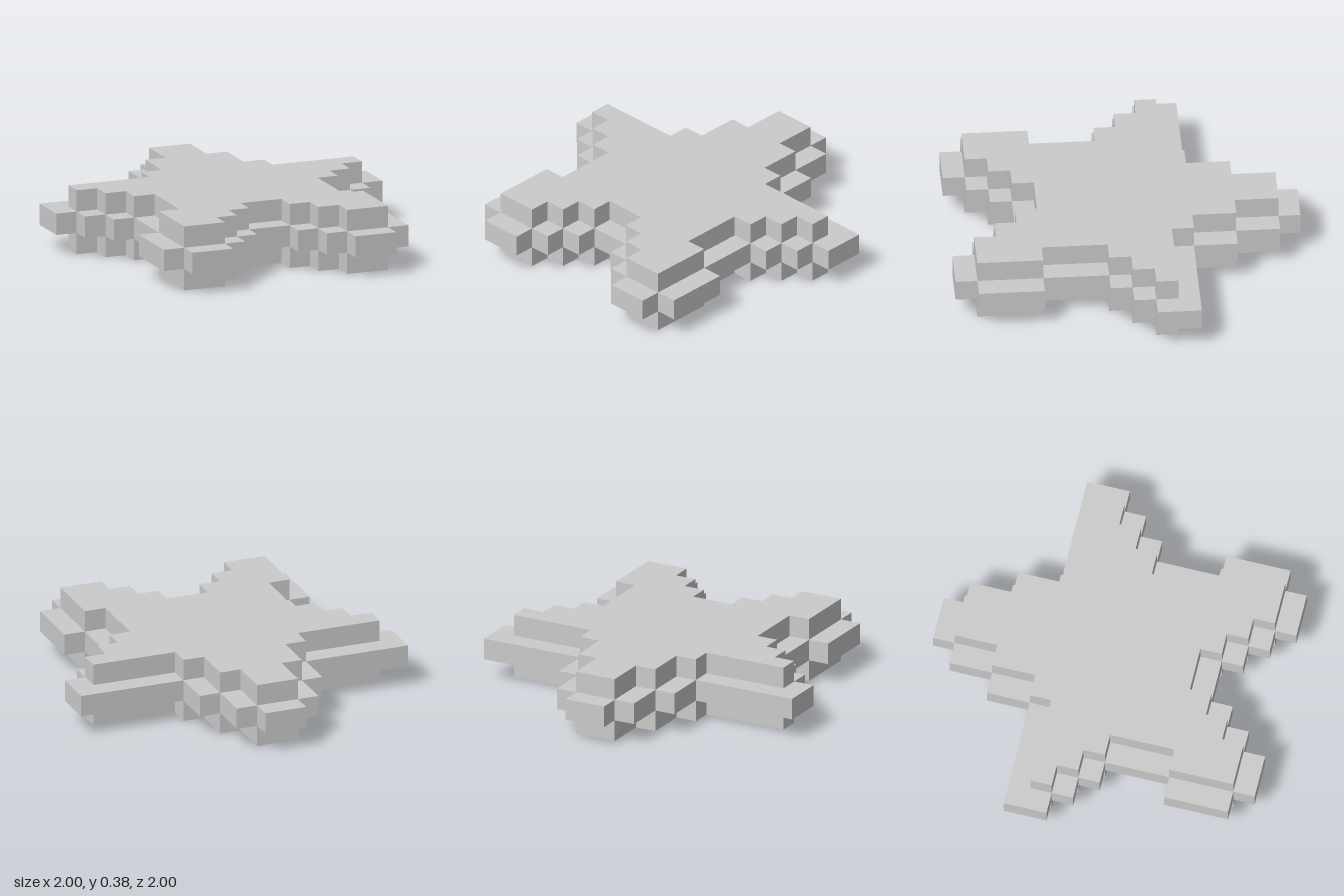
import * as THREE from 'three';

const U = 0.125; // one block

// Right half of each stepped outline as [x, z] in blocks, from back to front
const wide = [[1, -8], [1, -7], [2, -7], [2, -5], [3, -5], [3, -3], [8, -3], [8, -1], [7, -1], [7, 0],
  [6, 0], [6, 1], [5, 1], [5, 4], [6, 4], [6, 7], [5, 7], [5, 8], [3, 8], [3, 7], [2, 7], [2, 6], [1, 6], [1, 5]];
const narrow = [[1, -7], [1, -5], [2, -5], [2, -3], [3, -3], [3, -2], [7, -2], [7, -1], [6, -1], [6, 0],
  [5, 0], [5, 1], [4, 1], [4, 4], [5, 4], [5, 7], [3, 7], [3, 6], [2, 6], [2, 5], [1, 5], [1, 4]];

// Mirrors the half outline and extrudes it one block high
function layer(name, half, level, material) {
  const mirrored = half.map(([x, z]) => [-x, z]).reverse();
  const points = [...half, ...mirrored].map(([x, z]) => new THREE.Vector2(x * U, -z * U));
  const geometry = new THREE.ExtrudeGeometry(new THREE.Shape(points), { depth: U, bevelEnabled: false });
  geometry.rotateX(-Math.PI / 2);
  const mesh = new THREE.Mesh(geometry, material);
  mesh.name = name;
  mesh.position.y = level * U;
  return mesh;
}

export function createModel() {
  const star = new THREE.Group();
  star.name = 'blockStar';
  const material = new THREE.MeshStandardMaterial({ color: 0xcccccc, flatShading: true });
  star.add(
    layer('bottomLayer', narrow, 0, material),
    layer('middleLayer', wide, 1, material),
    layer('topLayer', narrow, 2, material),
  );
  return star;
}
